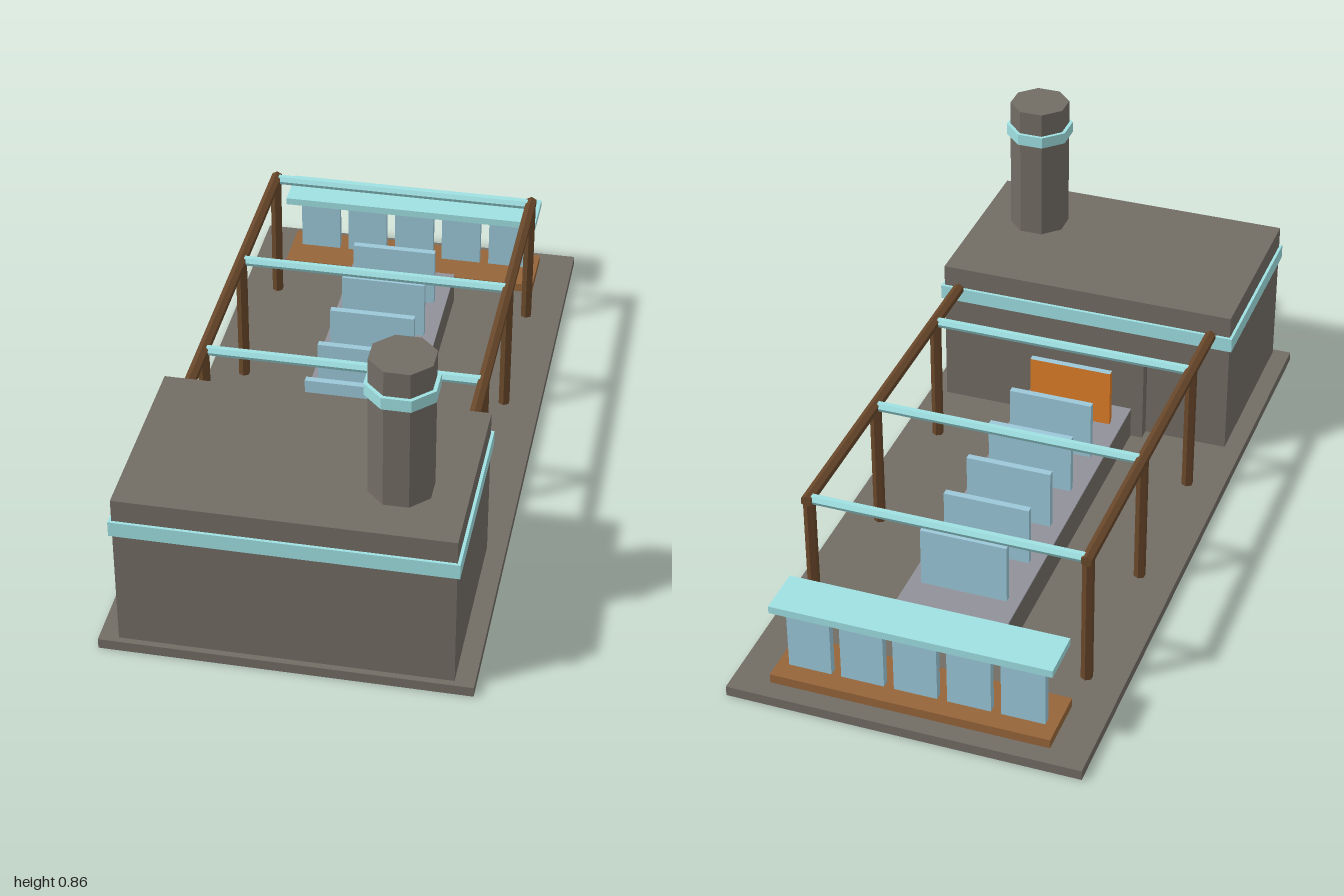
import * as THREE from 'three';

const mat = (name, color) => {
  const m = new THREE.MeshStandardMaterial({ color });
  m.name = name;
  return m;
};

export function createModel() {
  const root = new THREE.Group();
  const stone = mat('stone', 0x726c64);
  stone.side = THREE.DoubleSide;
  const belt = mat('beltGrey', 0x919299);
  const aqua = mat('aqua', 0x9fe0e2);
  const blue = mat('paleBlue', 0x9bc8d9);
  const brown = mat('darkBrown', 0x68472a);
  const wood = mat('wood', 0x966539);
  const orange = mat('orange', 0xde7d29);

  const add = (name, geometry, material) => {
    const mesh = new THREE.Mesh(geometry, material);
    mesh.name = name;
    root.add(mesh);
    return mesh;
  };
  // Box given by its limits on each axis
  const box = (name, m, x0, x1, y0, y1, z0, z1) => {
    const b = add(name, new THREE.BoxGeometry(x1 - x0, y1 - y0, z1 - z0), m);
    b.position.set((x0 + x1) / 2, (y0 + y1) / 2, (z0 + z1) / 2);
    return b;
  };
  // Flat-faced bar along y, turned by spin, then laid along the given axis
  const bar = (name, m, sides, r, length, x, y, z, axis = 'y', spin = 0) => {
    const g = new THREE.CylinderGeometry(r, r, length, sides).rotateY(spin).toNonIndexed();
    if (axis === 'x') g.rotateZ(Math.PI / 2);
    if (axis === 'z') g.rotateX(Math.PI / 2);
    g.computeVertexNormals();
    add(name, g, m).position.set(x, y, z);
  };

  // Ground slab: a shallow tray, hollow and open underneath
  const base = box('base', stone, -0.481, 0.481, 0, 0.028, -1, 1).geometry;
  const faces = Array.from(base.index.array);
  faces.splice(18, 6); // the bottom face
  base.setIndex(faces);
  base.clearGroups();

  // Main building
  box('building', stone, -0.43, 0.43, 0.029, 0.467, 0.45, 0.984);
  box('buildingBand', aqua, -0.438, 0.438, 0.363, 0.405, 0.441, 0.992);
  box('doorway', stone, -0.19, 0.19, 0.029, 0.28, 0.415, 0.452);

  // Octagonal chimney with its collar, a flat side to the front
  bar('chimney', stone, 8, 0.0855, 0.395, 0.258, 0.6645, 0.793, 'y', Math.PI / 8);
  bar('chimneyCollar', aqua, 8, 0.096, 0.033, 0.258, 0.7765, 0.793, 'y', Math.PI / 8);

  // Raised track with a belt on top
  box('track', stone, -0.155, 0.155, 0.029, 0.118, -0.69, 0.416);
  box('belt', belt, -0.155, 0.155, 0.118, 0.123, -0.69, 0.416);

  // Upright panels on the belt; the one by the doorway is orange with a blue top edge
  for (let i = 0; i < 6; i++) {
    const z = 0.328 - i * 0.1725;
    const m = i === 0 ? [orange, orange, blue, orange, orange, orange] : blue;
    box('beltPanel', m, -0.12, 0.12, 0.123, 0.295, z - 0.0095, z + 0.0095);
  }

  // Open frame: posts, long rails and cross bars
  for (const x of [-0.379, 0.379]) {
    bar('rail', brown, 6, 0.0165, 1.104, x, 0.414, -0.122, 'z');
    for (const z of [0.243, -0.205, -0.655]) bar('post', brown, 6, 0.0165, 0.381, x, 0.2195, z);
  }
  for (const z of [0.24, -0.208, -0.657]) bar('crossBar', aqua, 6, 0.014, 0.74, 0, 0.414, z, 'x');

  // Rear stand: plinth, five slabs and a top shelf
  box('plinth', wood, -0.38, 0.38, 0.029, 0.055, -0.947, -0.777);
  for (let i = -2; i <= 2; i++) {
    box('standSlab', blue, i * 0.145 - 0.059, i * 0.145 + 0.059, 0.055, 0.245, -0.894, -0.872);
  }
  box('shelf', aqua, -0.38, 0.38, 0.243, 0.264, -0.93, -0.795);

  return root;
}
